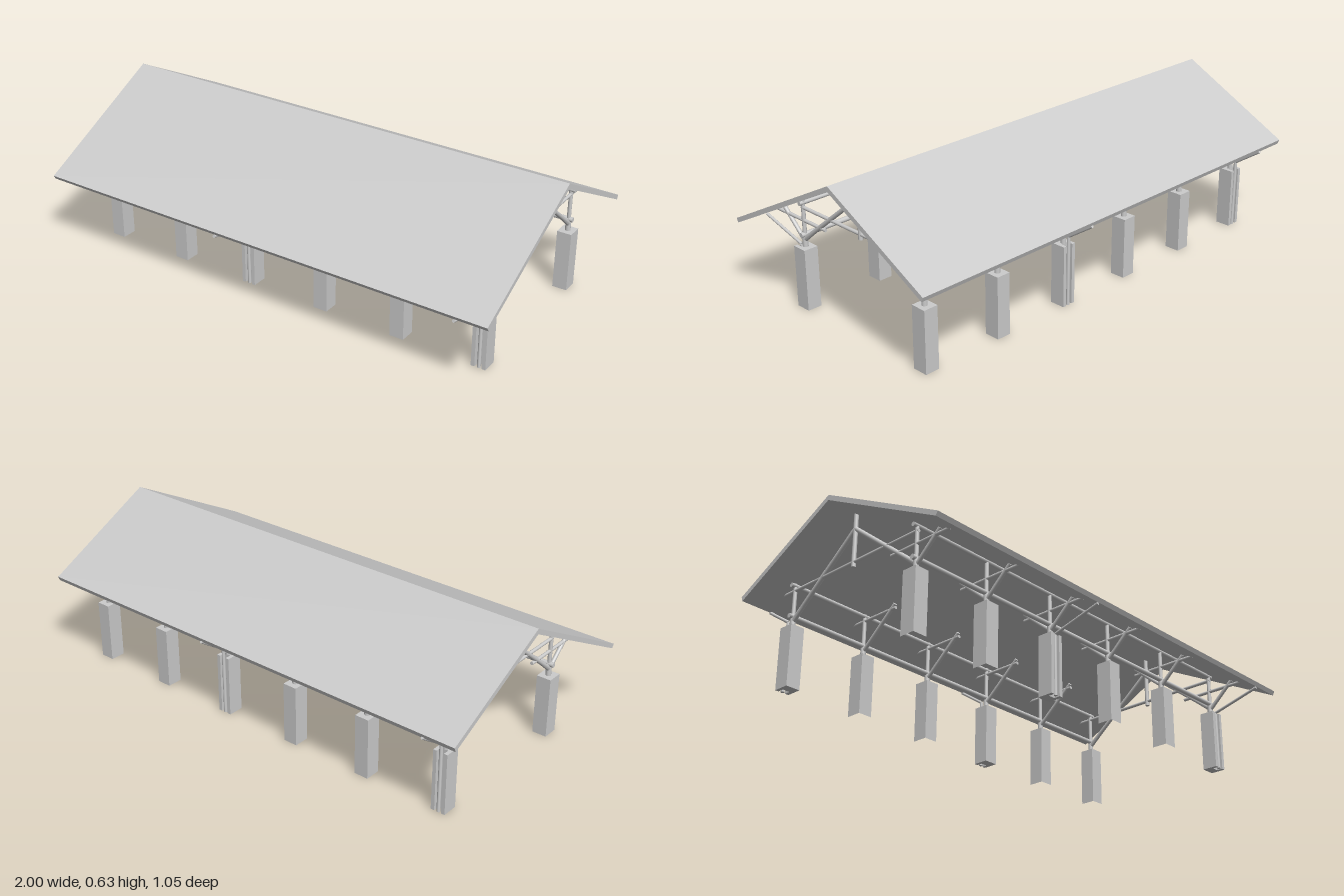
import * as THREE from 'three';

const material = new THREE.MeshStandardMaterial({ color: 0xcccccc });
const COLUMN_X = [-0.865, -0.518, -0.172, 0.174, 0.52, 0.867];
const COLUMN_TOP = 0.25;
const RIDGE_Z = -0.048;

function add(parent, name, geometry) {
  const mesh = new THREE.Mesh(geometry, material);
  mesh.name = name;
  parent.add(mesh);
  return mesh;
}

// Round bar between two points
function rod(parent, name, a, b, radius) {
  const start = new THREE.Vector3(...a);
  const dir = new THREE.Vector3(...b).sub(start);
  const mesh = add(parent, name, new THREE.CylinderGeometry(radius, radius, dir.length(), 12));
  mesh.position.copy(start).addScaledVector(dir, 0.5);
  mesh.quaternion.setFromUnitVectors(new THREE.Vector3(0, 1, 0), dir.normalize());
  return mesh;
}

function polygon(points) {
  return new THREE.Shape(points.map(([x, y]) => new THREE.Vector2(x, y)));
}

// Hollow column without a bottom face
function plainColumn() {
  const geometry = new THREE.BoxGeometry(0.06, COLUMN_TOP, 0.064);
  const index = Array.from(geometry.index.array);
  index.splice(18, 6);
  geometry.setIndex(index);
  geometry.clearGroups();
  return geometry.translate(0, COLUMN_TOP / 2, 0);
}

// Column with a vertical slot on its outer face for the downpipe
function slottedColumn() {
  const w = 0.03, d = 0.032, s = 0.015;
  const shape = polygon([[-w, -d], [-s, -d], [-s, -0.006], [s, -0.006], [s, -d], [w, -d], [w, d], [-w, d]]);
  return new THREE.ExtrudeGeometry(shape, { depth: COLUMN_TOP, bevelEnabled: false }).rotateX(-Math.PI / 2);
}

export function createModel() {
  const model = new THREE.Group();
  model.name = 'openShelter';

  // Gabled roof slab with an off-centre ridge
  const profile = polygon([
    [-0.527, 0.33], [-0.518, 0.314], [0.048, 0.608], [0.52, 0.362], [0.527, 0.38], [0.048, 0.63],
  ]);
  add(model, 'roof', new THREE.ExtrudeGeometry(profile, { depth: 2, bevelEnabled: false })
    .rotateY(Math.PI / 2).translate(-1, 0, 0));

  // Each row: column line, strut height and ends, inner brace end, downpipe columns and path
  const rows = [
    { name: 'front', z: 0.285, side: 1, strutY: 0.355, strut: [0.45, 0.155], inner: [0.385, 0.155],
      pipes: [2, 5], pipe: [[0.31, 0.25], [0.52, 0.307]] },
    { name: 'back', z: -0.38, side: -1, strutY: 0.407, strut: [-0.445, -0.2], inner: [0.425, -0.205],
      pipes: [0, 3], pipe: [[-0.407, 0.285], [-0.523, 0.363]] },
  ];

  for (const row of rows) {
    const { z, side, strutY } = row;
    COLUMN_X.forEach((x, i) => {
      const frame = new THREE.Group();
      frame.name = row.name + 'Support';
      frame.position.x = x;
      model.add(frame);

      const piped = row.pipes.includes(i);
      const column = add(frame, 'column', piped ? slottedColumn() : plainColumn());
      column.position.z = z;
      if (side < 0) column.rotation.y = Math.PI;

      // Post head with its braces
      rod(frame, 'postFoot', [0, COLUMN_TOP, z], [0, 0.3, z], 0.011);
      rod(frame, 'post', [0, 0.29, z], [0, 0.435, z], 0.008);
      rod(frame, 'strut', [0, strutY, row.strut[0]], [0, strutY, row.strut[1]], 0.007);
      rod(frame, 'innerBrace', [0, 0.275, z], [0, row.inner[0], row.inner[1]], 0.008);
      if (side > 0) rod(frame, 'outerBrace', [0, 0.27, z], [0, 0.375, 0.4], 0.008);

      // Rainwater pipe from the eave into the column slot
      if (piped) {
        const [[z0, y0], [z1, y1]] = row.pipe;
        rod(frame, 'downpipe', [0, 0, z0], [0, y0, z0], 0.007);
        rod(frame, 'eavePipe', [0, y0, z0], [0, y1, z1], 0.006);
      }
    });

    // Beams along the building
    rod(model, row.name + 'LowerBeam', [-0.885, 0.298, z], [0.885, 0.298, z], 0.01);
    rod(model, row.name + 'Purlin', [-0.885, 0.427, z], [0.885, 0.427, z], 0.009);
  }

  // Full trusses at both gables
  for (const x of [COLUMN_X[0], COLUMN_X[5]]) {
    const truss = new THREE.Group();
    truss.name = 'gableTruss';
    truss.position.x = x;
    model.add(truss);
    rod(truss, 'tieBeam', [0, 0.407, 0.293], [0, 0.407, -0.445], 0.007);
    rod(truss, 'kingPost', [0, 0.386, RIDGE_Z], [0, 0.612, RIDGE_Z], 0.009);
    rod(truss, 'frontDiagonal', [0, 0.275, 0.29], [0, 0.547, RIDGE_Z], 0.009);
    rod(truss, 'backDiagonal', [0, 0.278, -0.382], [0, 0.547, RIDGE_Z], 0.009);
  }

  return model;
}
